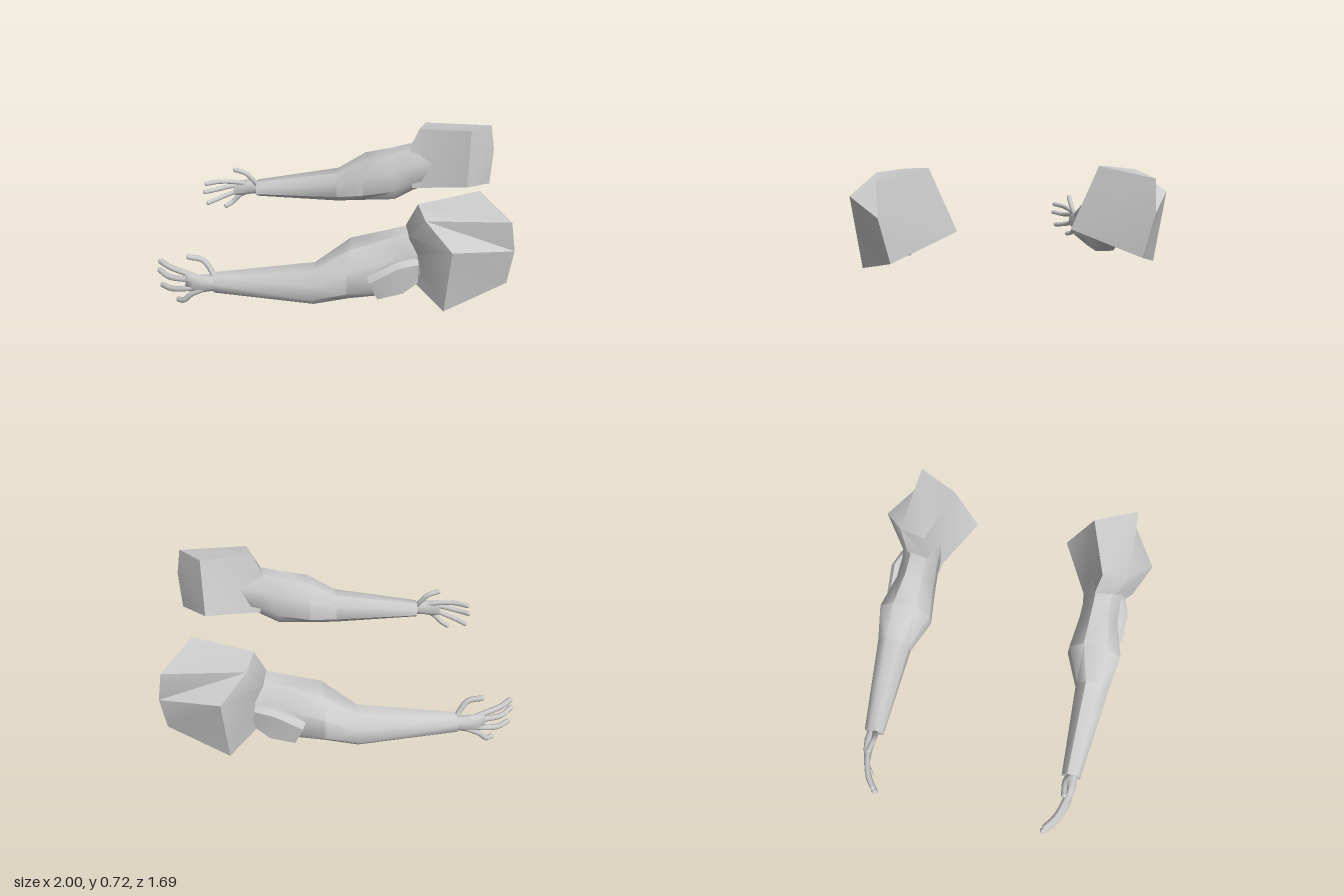
import * as THREE from 'three';
import { toCreasedNormals, mergeVertices, mergeGeometries } from 'three/addons/utils/BufferGeometryUtils.js';

const material = new THREE.MeshStandardMaterial({ color: 0xcccccc });

// Closed skin over cross-sections that run towards +x, each listed counterclockwise seen from +x.
function loft(rings, crease) {
  const n = rings[0].length, index = [], last = (rings.length - 1) * n;
  for (let i = 0; i < rings.length - 1; i++) {
    for (let j = 0; j < n; j++) {
      const a = i * n + j, b = i * n + (j + 1) % n;
      index.push(a, b, b + n, a, b + n, a + n);
    }
  }
  for (let j = 1; j < n - 1; j++) index.push(0, j + 1, j, last, last + j, last + j + 1);
  const geometry = new THREE.BufferGeometry();
  geometry.setAttribute('position', new THREE.Float32BufferAttribute(rings.flat(2), 3));
  geometry.setIndex(index);
  return toCreasedNormals(geometry, crease);
}

// Eight-sided cross-section with cut corners; lean shifts the underside along z.
function section([x, y0, y1, z0, z1, lean = 0]) {
  const y = t => y0 + (y1 - y0) * t, z = t => z0 + (z1 - z0) * t;
  return [[0.28, 0], [0, 0.25], [0, 0.68], [0.25, 1], [0.7, 1], [1, 0.7], [1, 0.28], [0.72, 0]]
    .map(([u, v]) => [x + lean * (1 - v), y(v), z(u)]);
}

// Rounded digit along a smooth path.
function digit(points, radius) {
  const path = new THREE.CatmullRomCurve3(points.map(p => new THREE.Vector3(...p)));
  const tip = new THREE.SphereGeometry(radius, 10, 8).translate(...points[points.length - 1]);
  return mergeGeometries([new THREE.TubeGeometry(path, 10, radius, 8), tip]);
}

// Reflected copy in z, with the corner order turned back outwards.
function mirrored(source) {
  const geometry = (source.index ? source.toNonIndexed() : source.clone()).scale(1, 1, -1);
  for (const attribute of Object.values(geometry.attributes)) {
    const { array, itemSize: s } = attribute;
    for (let t = 0; t < array.length; t += 3 * s) {
      for (let k = 0; k < s; k++) {
        const swap = array[t + s + k];
        array[t + s + k] = array[t + 2 * s + k];
        array[t + 2 * s + k] = swap;
      }
    }
  }
  return mergeVertices(geometry);
}

function armParts() {
  const parts = {};

  // Forearm and elbow sleeve: x, bottom, top, inner z, outer z
  parts.sleeve = loft([
    [-0.63, 0.11, 0.215, 0.567, 0.68],
    [-0.06, 0.10, 0.315, 0.543, 0.745],
    [0.13, 0.145, 0.445, 0.45, 0.77],
    [0.32, 0.16, 0.505, 0.475, 0.71, 0.02],
    [0.43, 0.24, 0.54, 0.48, 0.70, 0.04],
    [0.58, 0.28, 0.55, 0.48, 0.72],
  ].map(section), 0.85);

  // Wide upper sleeve, flaring from the neck to a slanted flat end
  parts.upperSleeve = loft([
    [[0.46, 0.28, 0.48], [0.43, 0.54, 0.53], [0.45, 0.54, 0.66], [0.50, 0.46, 0.71], [0.49, 0.27, 0.68]],
    [[0.53, 0.29, 0.47], [0.49, 0.68, 0.55], [0.53, 0.665, 0.71], [0.67, 0.56, 0.845], [0.65, 0.17, 0.79]],
    [[0.81, 0.39, 0.295], [0.82, 0.72, 0.435], [0.97, 0.67, 0.69], [1.0, 0.5, 0.685], [0.985, 0.27, 0.63]],
  ], 0.75);

  // Folded cloth flap at the outside of the elbow
  const flap = [[0.25, 0.21, 0.33, 0.765], [0.40, 0.25, 0.43, 0.765], [0.505, 0.29, 0.44, 0.725]];
  parts.elbowFlap = loft(flap.map(([x, y0, y1, z], i) => {
    const slant = [0.045, 0.03, 0.005][i], dx = [0.015, 0, 0][i];
    return [[x + slant, y0 - slant * 0.4, 0.62], [x - dx, y1, 0.62],
      [x - dx, y1, z - 0.025], [x, y1 - 0.03, z], [x + slant, y0 - slant * 0.4, z - 0.02]];
  }), 0.6);

  // Palm
  parts.palm = loft([
    [-0.80, 0.10, 0.205, 0.605, 0.635],
    [-0.75, 0.095, 0.208, 0.61, 0.655],
    [-0.69, 0.11, 0.21, 0.605, 0.665],
    [-0.61, 0.125, 0.205, 0.595, 0.66],
  ].map(section), 1.2);

  // Four curled fingers and the thumb
  const fingers = {
    indexFinger: [[-0.70, 0.185, 0.635], [-0.80, 0.205, 0.61], [-0.90, 0.217, 0.575], [-0.97, 0.222, 0.525]],
    middleFinger: [[-0.70, 0.165, 0.635], [-0.80, 0.17, 0.62], [-0.91, 0.155, 0.58], [-0.983, 0.16, 0.52]],
    ringFinger: [[-0.70, 0.145, 0.64], [-0.80, 0.115, 0.63], [-0.90, 0.083, 0.59], [-0.97, 0.068, 0.535]],
    littleFinger: [[-0.69, 0.13, 0.645], [-0.77, 0.085, 0.64], [-0.82, 0.035, 0.63], [-0.86, 0.018, 0.60]],
    thumb: [[-0.63, 0.18, 0.62], [-0.655, 0.23, 0.60], [-0.70, 0.285, 0.588], [-0.775, 0.305, 0.595]],
  };
  for (const [name, points] of Object.entries(fingers)) parts[name] = digit(points, 0.0165);
  return parts;
}

export function createModel() {
  const model = new THREE.Group();
  const front = new THREE.Group(), back = new THREE.Group();
  model.name = 'pairOfArms';
  front.name = 'frontArm';
  back.name = 'backArm';
  for (const [name, geometry] of Object.entries(armParts())) {
    for (const [arm, shape] of [[front, geometry], [back, mirrored(geometry)]]) {
      const mesh = new THREE.Mesh(shape, material);
      mesh.name = name;
      arm.add(mesh);
    }
  }
  model.add(front, back);
  return model;
}
